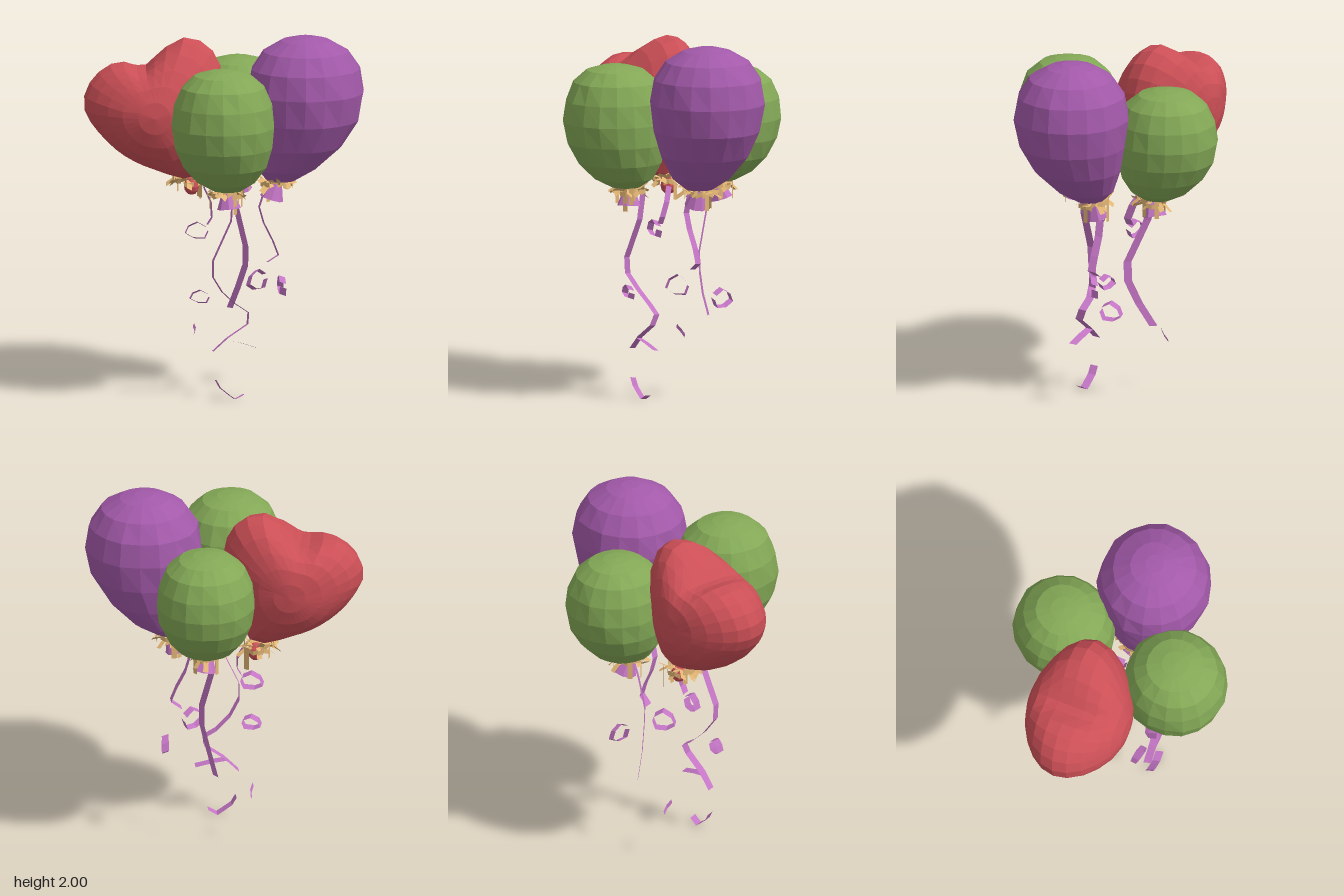
import * as THREE from 'three';
import { mergeGeometries } from 'three/addons/utils/BufferGeometryUtils.js';

const V = (x, y, z) => new THREE.Vector3(x, y, z);
const lerp = THREE.MathUtils.lerp;

function material(name, color, extra = {}) {
  const m = new THREE.MeshStandardMaterial({ color, flatShading: true, ...extra });
  m.name = name;
  return m;
}

function seeded(seed) {
  let s = seed;
  return () => (s = (s * 16807) % 2147483647) / 2147483647;
}

// Move every vertex of a geometry by a rule
function reshape(geo, rule) {
  const p = geo.attributes.position;
  const v = V(0, 0, 0);
  for (let i = 0; i < p.count; i++) {
    v.fromBufferAttribute(p, i);
    rule(v);
    p.setXYZ(i, v.x, v.y, v.z);
  }
  geo.computeVertexNormals();
  return geo;
}

// Small dents that depend only on position, so seams stay closed
const dent = v => 1 + 0.018 * Math.sin(9 * v.x + 7 * v.y) * Math.sin(8 * v.z - 6 * v.y + 1);

// Round balloon: a lathed profile leaning from its knot to its belly
function balloonGeometry(profile, knot, belly, height, rx, rz) {
  const geo = new THREE.LatheGeometry(profile.map(([r, t]) => new THREE.Vector2(r, t)), 18);
  return reshape(geo, v => {
    const k = Math.sin(Math.min(1, v.y / 0.55) * Math.PI / 2);
    const d = dent(v);
    v.set(
      lerp(knot[0], belly[0], k) + v.x * rx * d,
      knot[1] + v.y * height,
      lerp(knot[2], belly[1], k) + v.z * rz * d
    );
  });
}

// Heart balloon: a sphere whose rim follows a heart outline
function heartGeometry() {
  const cx = -0.38, cy = 1.57;
  const outline = new THREE.CatmullRomCurve3([
    [-0.19, 1.18], [-0.31, 1.21], [-0.55, 1.32], [-0.7, 1.46], [-0.77, 1.6], [-0.72, 1.74],
    [-0.61, 1.82], [-0.52, 1.82], [-0.44, 1.79], [-0.36, 1.87], [-0.23, 1.96], [-0.1, 1.93],
    [-0.02, 1.82], [0, 1.66], [-0.03, 1.5], [-0.08, 1.33], [-0.13, 1.21]
  ].map(([x, y]) => V(x - cx, y - cy, 0)), true).getPoints(400);
  const rimRadius = a => {
    const dir = V(Math.cos(a), Math.sin(a), 0);
    let best = outline[0], score = -2;
    for (const p of outline) {
      const s = p.dot(dir) / p.length();
      if (s > score) { score = s; best = p; }
    }
    return best.length();
  };
  const geo = new THREE.SphereGeometry(1, 32, 12).rotateX(Math.PI / 2);
  return reshape(geo, v => {
    const s = Math.hypot(v.x, v.y), a = Math.atan2(v.y, v.x);
    const r = s * lerp(0.34, rimRadius(a), s * s) * lerp(1, dent(v), 1 - s);
    const y = cy + r * Math.sin(a);
    v.set(cx + r * Math.cos(a), y, -0.07 + 0.29 * v.z - 0.15 * Math.max(0, y - 1.6));
  });
}

// Flat strip along a few points, widened along one direction
function ribbonGeometry(points, side) {
  const pos = [], index = [];
  points.forEach((p, i) => {
    pos.push(...p.clone().sub(side).toArray(), ...p.clone().add(side).toArray());
    if (i) { const k = 2 * i; index.push(k - 2, k - 1, k, k - 1, k + 1, k); }
  });
  const geo = new THREE.BufferGeometry();
  geo.setAttribute('position', new THREE.Float32BufferAttribute(pos, 3));
  geo.setIndex(index);
  geo.computeVertexNormals();
  return geo;
}

// Curled scrap of ribbon: a nearly closed, kinked ring standing at a turn about y
function curlGeometry(x, y, z, rx, ry, turn) {
  const pts = [];
  for (let i = 0; i <= 6; i++) {
    const a = 0.6 + i * 0.95, k = i % 2 ? 1.08 : 0.92, c = Math.cos(a) * rx * k;
    pts.push(V(x + c * Math.cos(turn), y + Math.sin(a) * ry * k, z + c * Math.sin(turn)));
  }
  return ribbonGeometry(pts, V(-Math.sin(turn), 0.35, Math.cos(turn)).multiplyScalar(0.018));
}

// Ruff of short bent shreds around a knot
function tinselGeometry([x, y, z], seed) {
  const rnd = seeded(seed), parts = [];
  for (let i = 0; i < 18; i++) {
    const a = (i + rnd() * 0.7) / 18 * Math.PI * 2;
    const out = 0.08 + rnd() * 0.05, end = (rnd() - 0.5) * 0.08, lift = (rnd() - 0.3) * 0.04;
    const at = (r, h) => V(x + Math.cos(a) * r, y + h, z + Math.sin(a) * r);
    const side = V(-Math.sin(a), (rnd() - 0.5) * 1.8, Math.cos(a)).multiplyScalar(0.014);
    parts.push(ribbonGeometry([at(0.02, 0), at(out * 0.65, lift), at(out, lift + end)], side));
  }
  // shreds lying around the ruff
  for (let i = 0; i < 7; i++) {
    const a = (i + rnd() * 0.5) / 7 * Math.PI * 2, r = 0.07 + rnd() * 0.025, h = y + (rnd() - 0.4) * 0.04;
    const at = (b, dy) => V(x + Math.cos(b) * r, h + dy, z + Math.sin(b) * r);
    parts.push(ribbonGeometry([at(a, 0), at(a + 0.4, (rnd() - 0.5) * 0.03), at(a + 0.8, 0)], V(0, 0.013, 0)));
  }
  // a few shreds hang straight down
  for (let i = 0; i < 4; i++) {
    const a = rnd() * 6.28, r = 0.06 + rnd() * 0.04;
    const px = x + Math.cos(a) * r, pz = z + Math.sin(a) * r;
    parts.push(ribbonGeometry([V(px, y + 0.02, pz), V(px, y - 0.06 - rnd() * 0.06, pz)],
      V(-Math.sin(a), 0, Math.cos(a)).multiplyScalar(0.013)));
  }
  return mergeGeometries(parts);
}

export function createModel() {
  const model = new THREE.Group();
  const both = { side: THREE.DoubleSide };
  const red = material('heart red', 0xcb4f56);
  const green = material('leaf green', 0x83a856);
  const purple = material('purple', 0xa259a9);
  const pink = material('ribbon pink', 0xc475c5, both);
  const gold = material('tinsel gold', 0xe2b574, both);

  const add = (name, geo, mat) => {
    const mesh = new THREE.Mesh(geo, mat);
    mesh.name = name;
    model.add(mesh);
    return mesh;
  };

  // Balloons
  const round = [[0, 0], [0.28, 0.01], [0.56, 0.08], [0.8, 0.21], [0.95, 0.37], [1, 0.54],
    [0.95, 0.71], [0.8, 0.86], [0.55, 0.955], [0.26, 0.99], [0, 1]];
  const pear = [[0, 0], [0.24, 0.01], [0.5, 0.09], [0.76, 0.25], [0.93, 0.43], [1, 0.62],
    [0.93, 0.78], [0.73, 0.9], [0.42, 0.972], [0.16, 0.997], [0, 1]];
  add('frontGreenBalloon', balloonGeometry(round, [0.02, 1.18, 0.29], [-0.005, 0.345], 0.69, 0.285, 0.29), green);
  add('backGreenBalloon', balloonGeometry(round, [0.08, 1.18, -0.29], [0.08, -0.35], 0.64, 0.272, 0.285), green);
  add('purpleBalloon', balloonGeometry(pear, [0.31, 1.18, 0], [0.45, 0.035], 0.82, 0.322, 0.315), purple);
  add('heartBalloon', heartGeometry(), red);

  // Knots: flared neck below each balloon with a tinsel ruff
  const knots = [
    ['frontGreen', [0.02, 1.17, 0.27], 0.1, 0.1],
    ['backGreen', [0.08, 1.17, -0.26], -0.25, 0.15],
    ['purple', [0.29, 1.17, -0.01], 0, -0.3]
  ];
  knots.forEach(([name, at, tiltX, tiltZ], i) => {
    const neck = add(name + 'Neck', new THREE.CylinderGeometry(0.028, 0.066, 0.1, 8, 1, true).translate(0, -0.04, 0), pink);
    neck.position.set(...at);
    neck.rotation.set(-tiltX, 0, tiltZ);
    add(name + 'Tinsel', tinselGeometry(at, 77 + i * 1301), gold);
  });
  add('heartNeck', new THREE.SphereGeometry(0.045, 9, 6).scale(0.95, 1.1, 1.1).translate(-0.175, 1.135, -0.11), red);
  add('heartTinsel', tinselGeometry([-0.19, 1.17, -0.11], 3980), gold);

  // Ribbons
  const alongZ = V(0.005, 0.003, 0.021), diagonal = V(0.016, 0, 0.016);
  const path = list => list.map(p => V(...p));
  add('frontGreenRibbon', ribbonGeometry(path([
    [0.05, 1.15, 0.2], [0.04, 1, 0.215], [-0.06, 0.78, 0.235], [-0.06, 0.69, 0.23], [-0.01, 0.6, 0.19],
    [0.06, 0.53, 0.165], [0.135, 0.48, 0.165], [0.13, 0.42, 0.19], [0.02, 0.345, 0.2], [-0.06, 0.27, 0.2]
  ]), alongZ), pink);
  add('frontGreenRibbonFork', ribbonGeometry(path([[0.01, 0.335, 0.2], [0.08, 0.32, 0.2], [0.18, 0.29, 0.2]]), alongZ), pink);
  add('frontGreenRibbonEnd', ribbonGeometry(path([
    [-0.045, 0.11, 0.205], [-0.02, 0.065, 0.205], [0.03, 0.025, 0.205], [0.06, 0.003, 0.205], [0.11, 0.03, 0.205]
  ]), alongZ), pink);
  add('backGreenRibbon', ribbonGeometry(path([
    [0.06, 1.14, -0.24], [0.06, 1.04, -0.21], [0.12, 0.8, -0.12], [0.12, 0.69, -0.125],
    [0.08, 0.56, -0.17], [0.035, 0.43, -0.235]
  ]), diagonal), pink);
  add('purpleRibbon', ribbonGeometry(path([
    [0.23, 1.15, 0.01], [0.195, 1.04, 0.01], [0.22, 0.95, 0.005], [0.27, 0.85, 0], [0.3, 0.77, 0], [0.24, 0.73, 0]
  ]), alongZ), pink);
  add('heartRibbon', ribbonGeometry(path([
    [-0.11, 1.14, -0.07], [-0.07, 1.06, -0.03], [-0.065, 0.98, 0], [-0.09, 0.94, 0]
  ]), alongZ), pink);

  // Curled ribbon scraps: x, y, z, radii, turn
  [
    [-0.145, 0.905, 0, 0.065, 0.045, 0.15],
    [-0.13, 0.57, 0.18, 0.055, 0.035, 0.2],
    [0.185, 0.64, 0.06, 0.065, 0.055, -0.7],
    [0.32, 0.57, -0.14, 0.065, 0.05, 1.45]
  ].forEach((c, i) => add('ribbonCurl' + (i + 1), curlGeometry(...c), pink));
  add('ribbonScrap', ribbonGeometry(path([[-0.165, 0.35, -0.155], [-0.155, 0.32, -0.18], [-0.16, 0.29, -0.205]]),
    V(0.004, 0.01, 0)), pink);

  return model;
}
